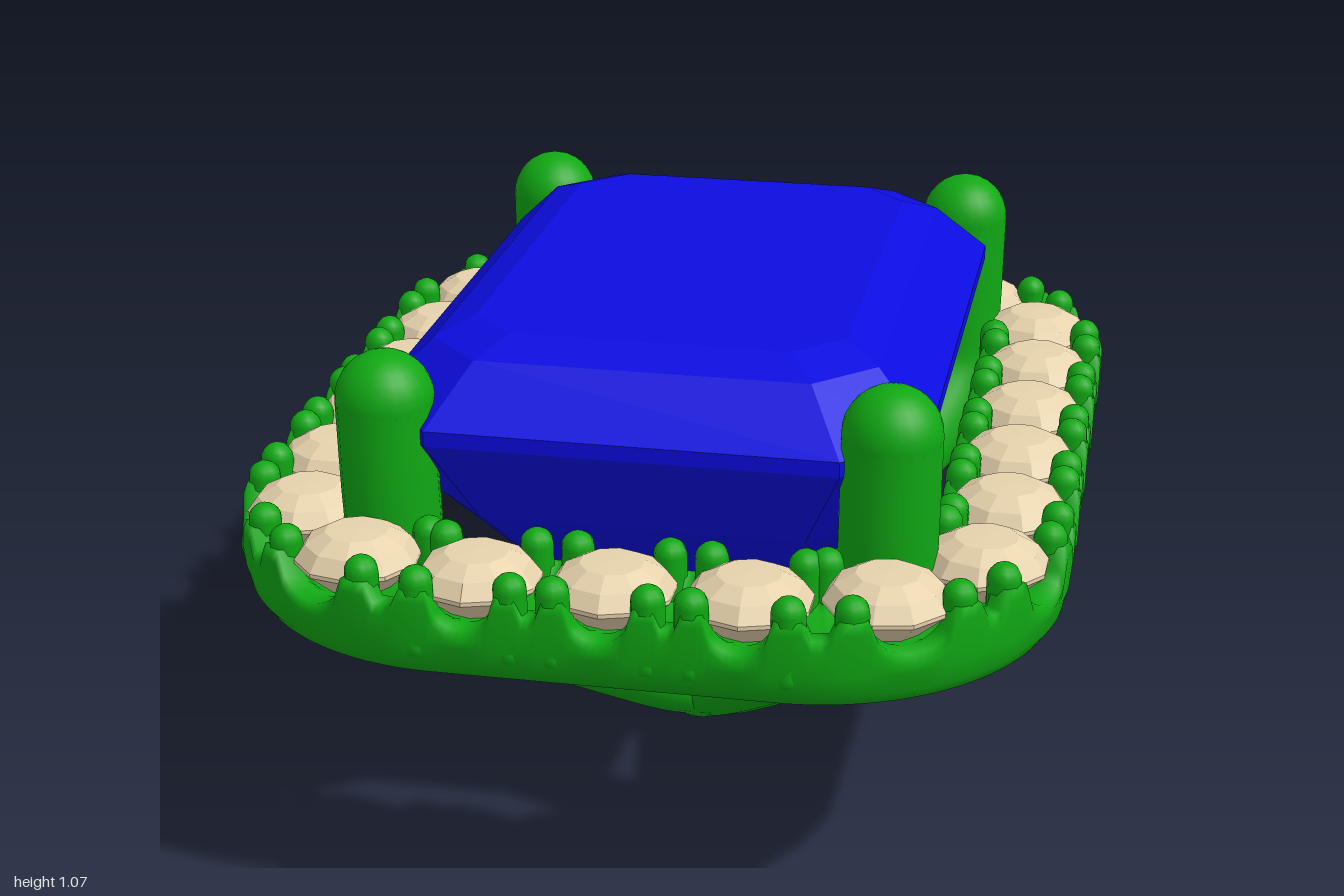
import * as THREE from 'three';

const metal = new THREE.MeshStandardMaterial({ color: 0x10a814 });
const blue = new THREE.MeshStandardMaterial({ color: 0x0c0ce0, flatShading: true });
const cream = new THREE.MeshStandardMaterial({ color: 0xe6d2ac, flatShading: true });

const COUNT = 22;                       // small stones round the halo
const HX = 0.675, HZ = 0.865, R = 0.36; // halo centreline: half sizes, corner radius
const A = HX - R, B = HZ - R, ARC = R * Math.PI / 2;
const LENGTH = 4 * (A + B + ARC), PITCH = LENGTH / COUNT;

function add(parent, name, geometry, material, x = 0, y = 0, z = 0) {
  const mesh = new THREE.Mesh(geometry, material);
  mesh.name = name;
  mesh.position.set(x, y, z);
  parent.add(mesh);
  return mesh;
}

// Point and heading at distance s along the rounded-rectangle centreline
function haloAt(s) {
  let x = 0, z = -HZ, angle = 0, left = ((s % LENGTH) + LENGTH) % LENGTH;
  const runs = [A, ARC, 2 * B, ARC, 2 * A, ARC, 2 * B, ARC, A];
  for (let k = 0; k < runs.length && left > 0; k++) {
    const d = Math.min(left, runs[k]);
    left -= d;
    if (k % 2) {
      x -= R * Math.sin(angle); z += R * Math.cos(angle);
      angle += d / R;
      x += R * Math.sin(angle); z -= R * Math.cos(angle);
    } else {
      x += d * Math.cos(angle); z += d * Math.sin(angle);
    }
  }
  return { x, z, angle };
}

// Skin a list of closed rings of [x, y, z] points
function loft(rings, closed) {
  const n = rings[0].length, index = [];
  const last = closed ? rings.length : rings.length - 1;
  for (let i = 0; i < last; i++) {
    for (let j = 0; j < n; j++) {
      const i2 = (i + 1) % rings.length, j2 = (j + 1) % n;
      const a = i * n + j, b = i * n + j2, c = i2 * n + j, d = i2 * n + j2;
      index.push(a, b, c, b, d, c);
    }
  }
  const g = new THREE.BufferGeometry();
  g.setAttribute('position', new THREE.Float32BufferAttribute(rings.flat(2), 3));
  g.setIndex(index);
  g.computeVertexNormals();
  return g;
}

// Halo band: a channel whose walls dip in a scoop beside every stone
function haloBand() {
  const steps = COUNT * 20, rings = [];
  for (let i = 0; i < steps; i++) {
    const s = i / steps * LENGTH, p = haloAt(s);
    const off = Math.abs(s / PITCH - Math.round(s / PITCH)) * PITCH;
    const top = off < 0.06 ? 0.725 - Math.sqrt(0.0036 - off * off) : off > 0.11 ? 0.70 : 0.735;
    const section = [
      [-0.08, 0.555], [0.075, 0.555], [0.105, 0.565], [0.122, 0.59], [0.131, 0.63],
      [0.135, top - 0.02], [0.127, top], [0.09, top], [0.07, 0.66],
      [-0.07, 0.66], [-0.09, top], [-0.125, top], [-0.133, top - 0.02],
      [-0.13, 0.60], [-0.115, 0.565]];
    rings.push(section.map(([n, y]) =>
      [p.x + n * Math.sin(p.angle), y, p.z - n * Math.cos(p.angle)]));
  }
  return loft(rings, true);
}

// Step-cut centre stone: octagonal rings from keel to table
function centreStone() {
  const levels = [ // half x, half z, corner cut, y
    [0, 0.2, 0, 0.38], [0.145, 0.36, 0.04, 0.465], [0.28, 0.49, 0.07, 0.555],
    [0.42, 0.62, 0.105, 0.72], [0.535, 0.72, 0.145, 0.90], [0.535, 0.72, 0.145, 0.93],
    [0.43, 0.61, 0.11, 1.035], [0.36, 0.53, 0.09, 1.065], [0, 0.2, 0, 1.066]];
  return loft(levels.map(([X, Z, c, y]) => [
    [X, y, Z - c], [X, y, c - Z], [X - c, y, -Z], [c - X, y, -Z],
    [-X, y, c - Z], [-X, y, Z - c], [c - X, y, Z], [X - c, y, Z]]), false);
}

// Leg and claw in one tube, swelling where it passes the halo
function claw(sx, sz) {
  const path = [[0, 0.088, 0], [0.05, 0.12, 0.06], [0.245, 0.315, 0.32], [0.42, 0.505, 0.56],
    [0.47, 0.62, 0.645], [0.475, 0.75, 0.66], [0.478, 0.97, 0.665]];
  const curve = new THREE.CatmullRomCurve3(
    path.map(([x, y, z]) => new THREE.Vector3(sx * x, y, sz * z)));
  const rows = 60, sides = 20;
  const g = new THREE.TubeGeometry(curve, rows, 0.083, sides);
  const pos = g.attributes.position, v = new THREE.Vector3();
  for (let i = 0; i <= rows; i++) {
    const u = i / rows, centre = curve.getPointAt(u);
    const scale = 1 + 0.13 * THREE.MathUtils.smoothstep(u, 0.4, 0.65)
      + 0.12 * Math.exp(-(((u - 0.62) / 0.08) ** 2));
    for (let j = 0; j <= sides; j++) {
      const k = i * (sides + 1) + j;
      v.fromBufferAttribute(pos, k).sub(centre).multiplyScalar(scale).add(centre);
      pos.setXYZ(k, v.x, v.y, v.z);
    }
  }
  return g;
}

export function createModel() {
  const model = new THREE.Group();
  model.name = 'gemSetting';

  add(model, 'centreStone', centreStone(), blue);
  add(model, 'haloBand', haloBand(), metal);

  // Four legs rising into claws, joined at the base
  const tip = new THREE.SphereGeometry(0.094, 24, 16);
  for (const sx of [1, -1]) for (const sz of [1, -1]) {
    add(model, 'claw', claw(sx, sz), metal);
    add(model, 'clawTip', tip, metal, sx * 0.478, 0.97, sz * 0.665);
  }
  add(model, 'base', new THREE.SphereGeometry(0.1, 24, 16), metal, 0, 0.09, 0).scale.y = 0.9;

  // Small faceted stones, each with four rounded prongs
  const stone = new THREE.LatheGeometry([[0, 0.6], [0.119, 0.708], [0.119, 0.716],
    [0.098, 0.745], [0.06, 0.766], [0, 0.768]].map(([r, y]) => new THREE.Vector2(r, y)), 10);
  const prong = new THREE.CapsuleGeometry(0.032, 0.12, 5, 10);
  for (let i = 0; i < COUNT; i++) {
    const p = haloAt(i * PITCH);
    const unit = new THREE.Group();
    unit.name = 'haloStoneUnit';
    unit.position.set(p.x, 0, p.z);
    unit.rotation.y = -p.angle;
    add(unit, 'haloStone', stone, cream);
    const bend = Math.abs(Math.sin(2 * p.angle)) > 0.1 ? 0.016 : 0; // corners fan outward
    for (const side of [1, -1]) for (const out of [1, -1]) {
      add(unit, 'prong', prong, metal,
        side * (0.087 + bend * out), 0.682, -out * 0.1 + bend);
    }
    model.add(unit);
  }
  return model;
}
